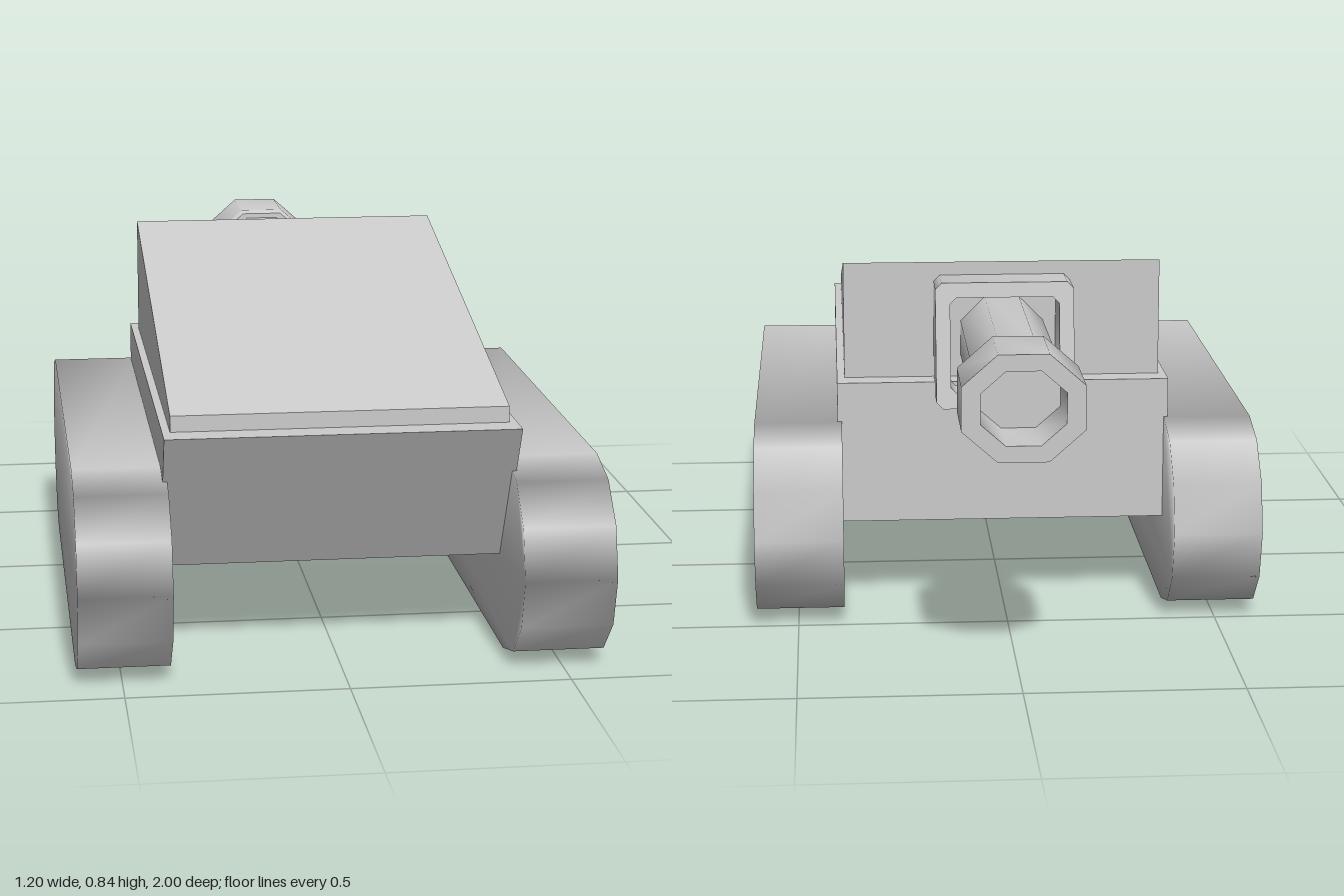
import * as THREE from 'three';
import { mergeVertices, toCreasedNormals } from 'three/addons/utils/BufferGeometryUtils.js';

const material = new THREE.MeshStandardMaterial({ color: 0xcccccc });

function add(parent, name, geometry) {
  const mesh = new THREE.Mesh(geometry, material);
  mesh.name = name;
  parent.add(mesh);
  return mesh;
}

// Side profile given as [z, y] pairs, extruded across x and centred on x = 0
function sideExtrude(points, width) {
  const shape = new THREE.Shape(points.map(([z, y]) => new THREE.Vector2(-z, y)));
  return new THREE.ExtrudeGeometry(shape, { depth: width, bevelEnabled: false })
    .translate(0, 0, -width / 2)
    .rotateY(Math.PI / 2);
}

// Rectangle with small cut corners
function cutRect(PathType, hw, y0, y1, c) {
  return new PathType([
    [-hw + c, y0], [hw - c, y0], [hw, y0 + c], [hw, y1 - c],
    [hw - c, y1], [-hw + c, y1], [-hw, y1 - c], [-hw, y0 + c],
  ].map(([x, y]) => new THREE.Vector2(x, y)));
}

// Track: two half-round ends joined by a straight run, softly shaded
function trackGeometry() {
  const r = 0.23, points = [];
  for (const [centre, start] of [[0.77, -Math.PI / 2], [-0.345, Math.PI / 2]]) {
    for (let i = 0; i <= 6; i++) {
      const a = start + (i * Math.PI) / 6;
      points.push([centre + r * Math.cos(a), r + r * Math.sin(a)]);
    }
  }
  const raw = sideExtrude(points, 0.21);
  raw.deleteAttribute('normal');
  raw.deleteAttribute('uv');
  const geometry = mergeVertices(raw);
  geometry.computeVertexNormals();
  return geometry;
}

// Eight-sided turned part along -z, with flats on top and sides
function turned(profile) {
  const points = profile.map(([r, d]) => new THREE.Vector2(r / Math.cos(Math.PI / 8), d));
  const geometry = new THREE.LatheGeometry(points, 8, Math.PI / 8).rotateX(-Math.PI / 2);
  return toCreasedNormals(geometry, 0.9);
}

// Square collar around the gun, with a sloping open end
function collarGeometry() {
  const shape = cutRect(THREE.Shape, 0.165, 0.51, 0.805, 0.015);
  shape.holes.push(cutRect(THREE.Path, 0.13, 0.545, 0.77, 0.015));
  const geometry = new THREE.ExtrudeGeometry(shape, { depth: 0.24, bevelEnabled: false })
    .translate(0, 0, -0.38);
  const p = geometry.attributes.position;
  for (let i = 0; i < p.count; i++) {
    if (p.getZ(i) < -0.3) p.setZ(i, -0.38 - (0.805 - p.getY(i)) * 0.18);
  }
  return toCreasedNormals(geometry, 0.9);
}

export function createModel() {
  const model = new THREE.Group();
  model.name = 'tank';

  // Hull with a raked nose
  add(model, 'hull', sideExtrude(
    [[0.895, 0.555], [-0.34, 0.555], [-0.34, 0.21], [0.71, 0.21]], 0.8));

  // Wedge turret
  add(model, 'turret', sideExtrude(
    [[0.83, 0.55], [0.83, 0.592], [-0.28, 0.837], [-0.28, 0.55]], 0.764));

  // Tracks
  const track = trackGeometry();
  for (const [name, side] of [['leftTrack', 1], ['rightTrack', -1]]) {
    add(model, name, track).position.x = side * 0.495;
  }

  // Gun
  const gun = new THREE.Group();
  gun.name = 'gun';
  model.add(gun);
  add(gun, 'gunCollar', collarGeometry());
  add(gun, 'barrel', turned([[0, 0.2], [0.1, 0.2], [0.1, 0.82]])).position.y = 0.65;
  const muzzle = add(gun, 'muzzle', turned([
    [0.09, 0.8], [0.112, 0.802], [0.12, 0.815], [0.12, 1], [0.083, 1], [0.083, 0.84], [0, 0.84],
  ]));
  muzzle.position.y = 0.65;
  muzzle.scale.x = 1.13;

  return model;
}
